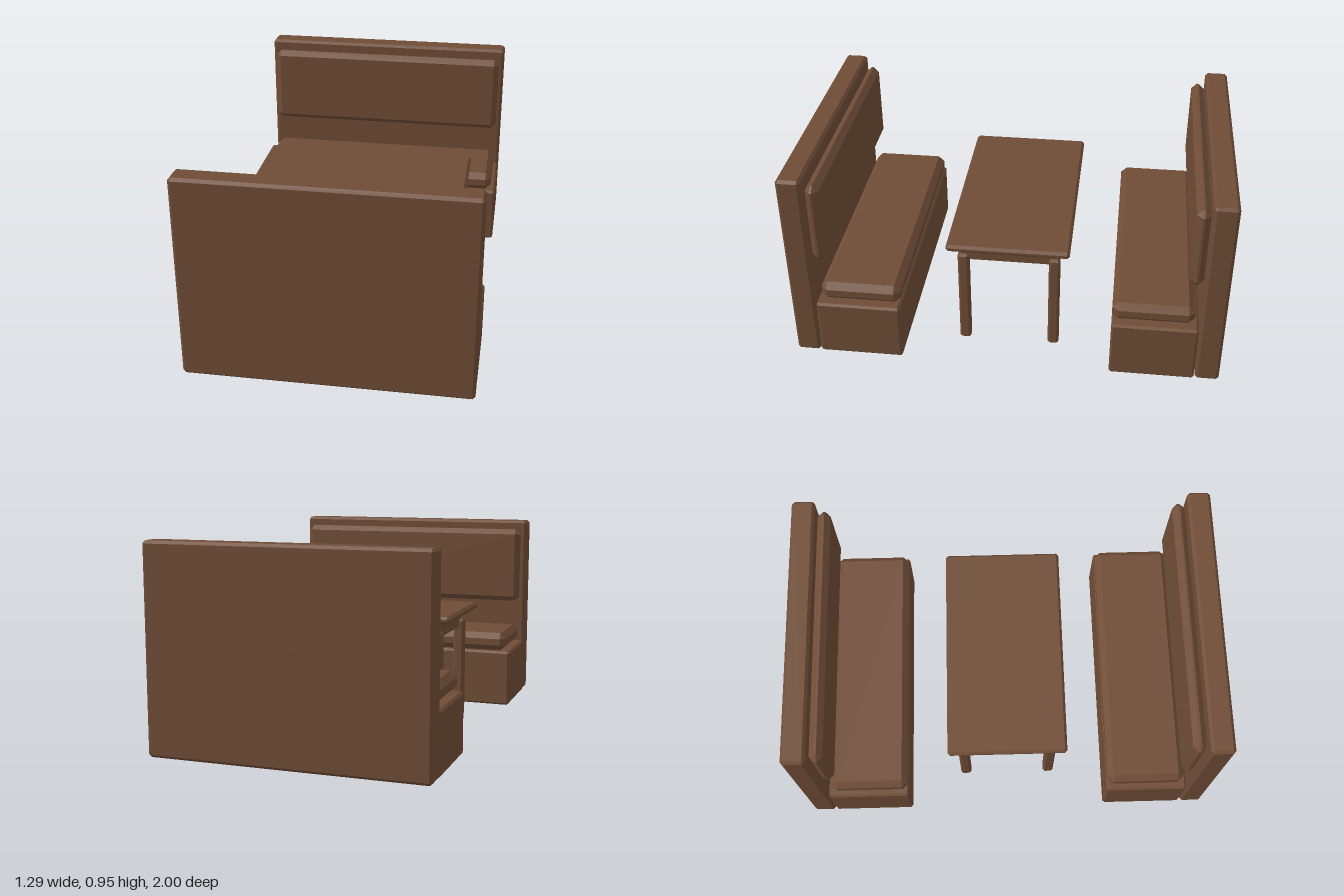
import * as THREE from 'three';
import { ConvexGeometry } from 'three/addons/geometries/ConvexGeometry.js';

const wood = new THREE.MeshStandardMaterial({ color: 0x6f4c36 });
wood.name = 'brown';

// Box with flat chamfered edges, given by its min and max corners.
function chamferBox(name, min, max, c) {
  const size = max.map((v, i) => v - min[i]);
  const points = [];
  for (const sx of [-1, 1]) for (const sy of [-1, 1]) for (const sz of [-1, 1]) {
    const signs = [sx, sy, sz];
    for (let axis = 0; axis < 3; axis++) {
      points.push(new THREE.Vector3(...signs.map((s, i) => s * (size[i] / 2 - (i === axis ? 0 : c)))));
    }
  }
  const mesh = new THREE.Mesh(new ConvexGeometry(points), wood);
  mesh.position.set(...min.map((v, i) => (v + max[i]) / 2));
  mesh.name = name;
  return mesh;
}

// Bench with its back at -z, facing +z.
function createBench(name) {
  const bench = new THREE.Group();
  bench.name = name;
  bench.add(
    chamferBox('backPanel', [-0.645, 0, -1], [0.645, 0.95, -0.89], 0.013),
    chamferBox('seatBase', [-0.645, 0, -0.885], [0.645, 0.285, -0.49], 0.01),
    chamferBox('seatCushion', [-0.62, 0.288, -0.865], [0.62, 0.38, -0.49], 0.029),
    chamferBox('backCushion', [-0.62, 0.51, -0.885], [0.62, 0.905, -0.823], 0.026)
  );
  return bench;
}

function createTable() {
  const table = new THREE.Group();
  table.name = 'table';
  table.add(chamferBox('tableTop', [-0.52, 0.54, -0.285], [0.52, 0.575, 0.285], 0.012));

  const apron = new THREE.Mesh(new THREE.BoxGeometry(0.9, 0.08, 0.44), wood);
  apron.position.y = 0.5;
  apron.name = 'apron';
  table.add(apron);

  for (const x of [-0.445, 0.445]) for (const z of [-0.213, 0.213]) {
    table.add(chamferBox('tableLeg', [x - 0.026, 0, z - 0.026], [x + 0.026, 0.495, z + 0.026], 0.01));
  }
  return table;
}

export function createModel() {
  const model = new THREE.Group();
  model.name = 'diningBooth';
  const frontBench = createBench('frontBench');
  frontBench.rotation.y = Math.PI;
  model.add(createBench('rearBench'), frontBench, createTable());
  return model;
}
